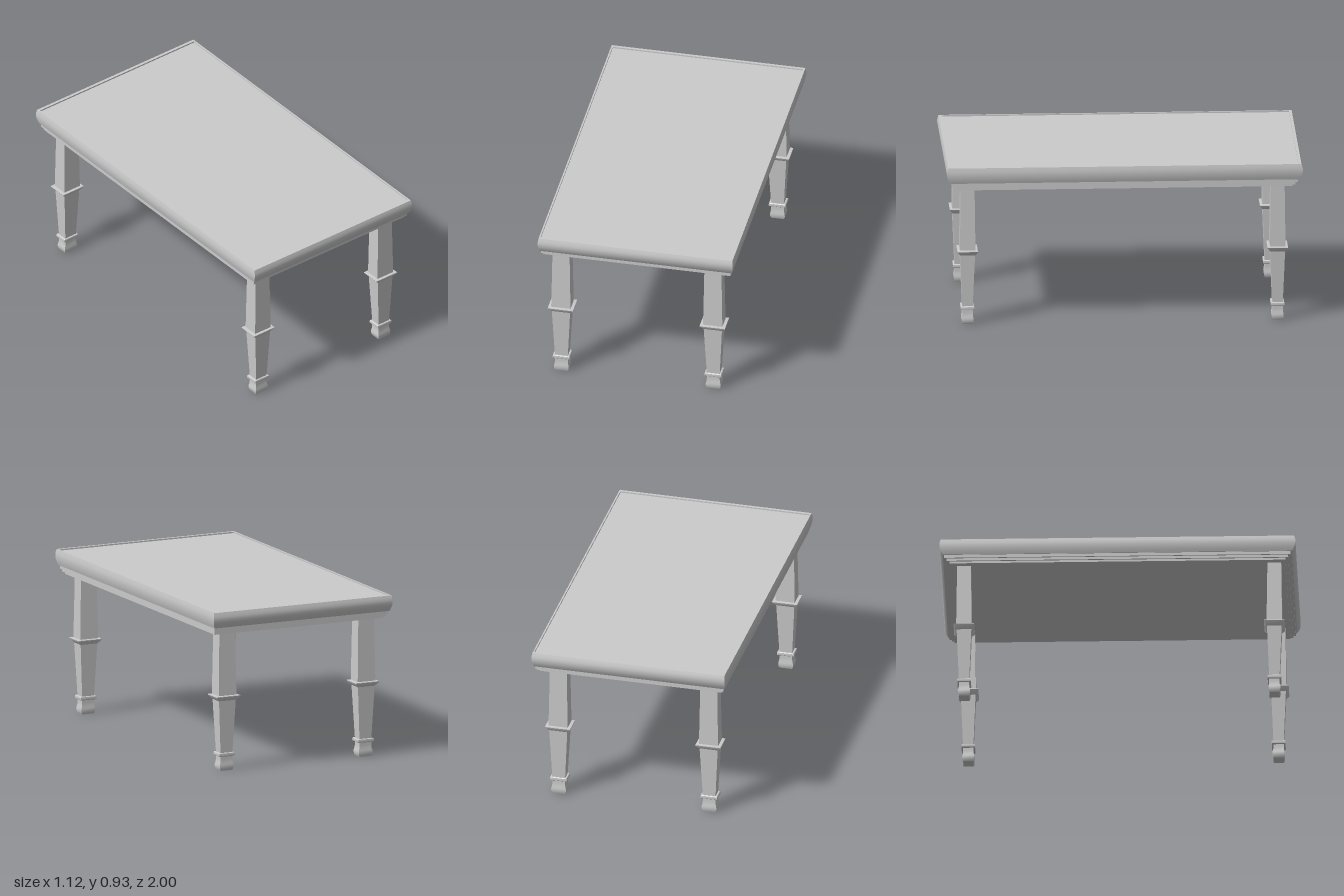
import * as THREE from 'three';
import { toCreasedNormals } from 'three/addons/utils/BufferGeometryUtils.js';

// Stacks rectangles along y. Each profile point is [half width in x, y];
// the half depth in z is the half width times ratio.
function rectLoft(profile, ratio) {
  const positions = [];
  const index = [];
  for (const [h, y] of profile) {
    for (const [sx, sz] of [[1, 1], [1, -1], [-1, -1], [-1, 1]]) {
      positions.push(sx * h, y, sz * h * ratio);
    }
  }
  for (let i = 0; i < profile.length - 1; i++) {
    for (let k = 0; k < 4; k++) {
      const a = i * 4 + k;
      const b = i * 4 + (k + 1) % 4;
      index.push(a, b, b + 4, a, b + 4, a + 4);
    }
  }
  const t = (profile.length - 1) * 4;
  index.push(0, 2, 1, 0, 3, 2); // bottom cap
  index.push(t, t + 1, t + 2, t, t + 2, t + 3); // top cap
  const geometry = new THREE.BufferGeometry();
  geometry.setAttribute('position', new THREE.Float32BufferAttribute(positions, 3));
  geometry.setIndex(index);
  return toCreasedNormals(geometry, 0.5);
}

export function createModel() {
  const model = new THREE.Group();
  model.name = 'table';
  const material = new THREE.MeshStandardMaterial({ color: 0xcccccc });

  const add = (parent, name, profile, ratio) => {
    const mesh = new THREE.Mesh(rectLoft(profile, ratio), material);
    mesh.name = name;
    parent.add(mesh);
  };

  // Top: stepped moulding, bowed edge, and a shallow recess inside a thin rim
  add(model, 'tableTop', [
    [0.528, 0.796], [0.528, 0.808],
    [0.537, 0.808], [0.537, 0.823],
    [0.545, 0.823], [0.545, 0.841],
    [0.549, 0.841], [0.554, 0.856], [0.558, 0.873], [0.56, 0.89],
    [0.56, 0.905], [0.558, 0.92], [0.556, 0.932],
    [0.547, 0.932], [0.547, 0.924],
  ], 1 / 0.56);

  // Leg parts, from the floor up
  const legParts = {
    foot: [
      [0.036, 0], [0.04, 0.008], [0.043, 0.022], [0.042, 0.034],
      [0.038, 0.05], [0.037, 0.065], [0.037, 0.085],
    ],
    ankleRing: [
      [0.044, 0.082], [0.048, 0.085], [0.049, 0.092], [0.048, 0.1], [0.044, 0.103],
    ],
    lowerLeg: [[0.037, 0.1], [0.0525, 0.405]],
    collar: [[0.0525, 0.403], [0.0725, 0.425], [0.0735, 0.428], [0.0725, 0.431], [0.0555, 0.433]],
    upperLeg: [[0.0555, 0.43], [0.049, 0.8]],
  };

  for (const [side, x] of [['Left', 0.429], ['Right', -0.4425]]) {
    for (const [end, z] of [['front', 0.88], ['back', -0.863]]) {
      const leg = new THREE.Group();
      leg.name = `${end}${side}Leg`;
      leg.position.set(x, 0, z);
      for (const [name, profile] of Object.entries(legParts)) add(leg, name, profile, 0.79);
      model.add(leg);
    }
  }
  return model;
}
